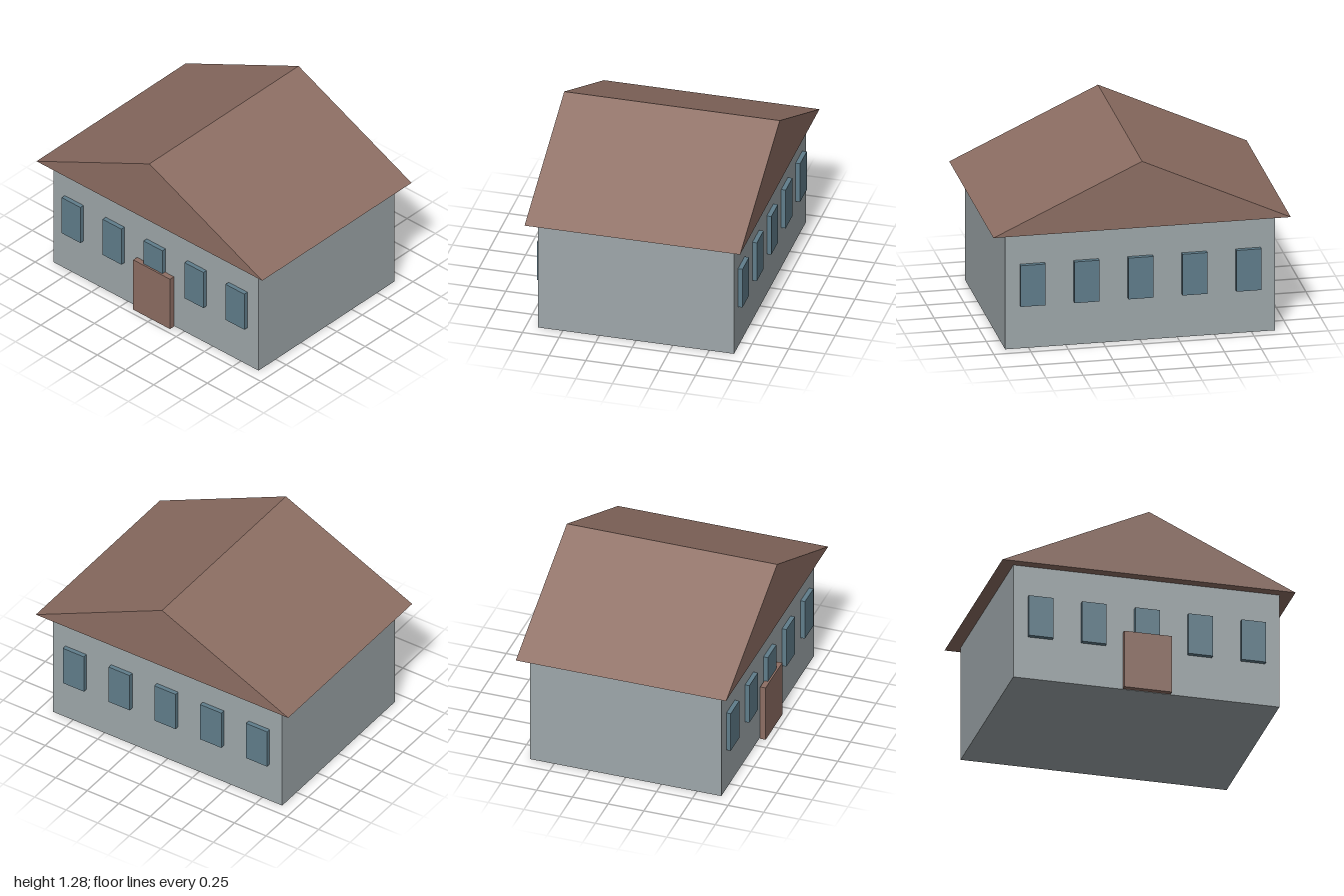
import * as THREE from 'three';

const wallGrey = new THREE.MeshStandardMaterial({ name: 'wallGrey', color: 0x9ea7aa });
const roofBrown = new THREE.MeshStandardMaterial({ name: 'roofBrown', color: 0x8d6e63 });
const windowBlue = new THREE.MeshStandardMaterial({ name: 'windowBlue', color: 0x607d8b });

// Box standing on height y, centred on x and z
function box(name, material, [w, h, d], [x, y, z]) {
  const mesh = new THREE.Mesh(new THREE.BoxGeometry(w, h, d), material);
  mesh.name = name;
  mesh.position.set(x, y + h / 2, z);
  return mesh;
}

export function createModel() {
  const house = new THREE.Group();
  house.name = 'house';

  // Main block
  house.add(box('walls', wallGrey, [1.816, 0.814, 1.34], [0, 0, 0]));

  // Solid gabled roof with the ridge running front to back
  const gable = new THREE.Shape();
  gable.moveTo(-1, 0);
  gable.lineTo(1, 0);
  gable.lineTo(0, 0.466);
  gable.closePath();
  const roofDepth = 1.472;
  const roofGeometry = new THREE.ExtrudeGeometry(gable, { depth: roofDepth, bevelEnabled: false });
  roofGeometry.translate(0, 0.814, -roofDepth / 2);
  const roof = new THREE.Mesh(roofGeometry, roofBrown);
  roof.name = 'roof';
  house.add(roof);

  // Front door, standing just off the wall
  house.add(box('door', roofBrown, [0.326, 0.406, 0.038], [0, 0, 0.695]));

  // Five raised windows along the front and back
  for (const side of [1, -1]) {
    const row = new THREE.Group();
    row.name = side > 0 ? 'frontWindows' : 'backWindows';
    for (let i = -2; i <= 2; i++) {
      row.add(box('window', windowBlue, [0.167, 0.29, 0.032], [i * 0.363, 0.302, side * 0.685]));
    }
    house.add(row);
  }

  return house;
}
